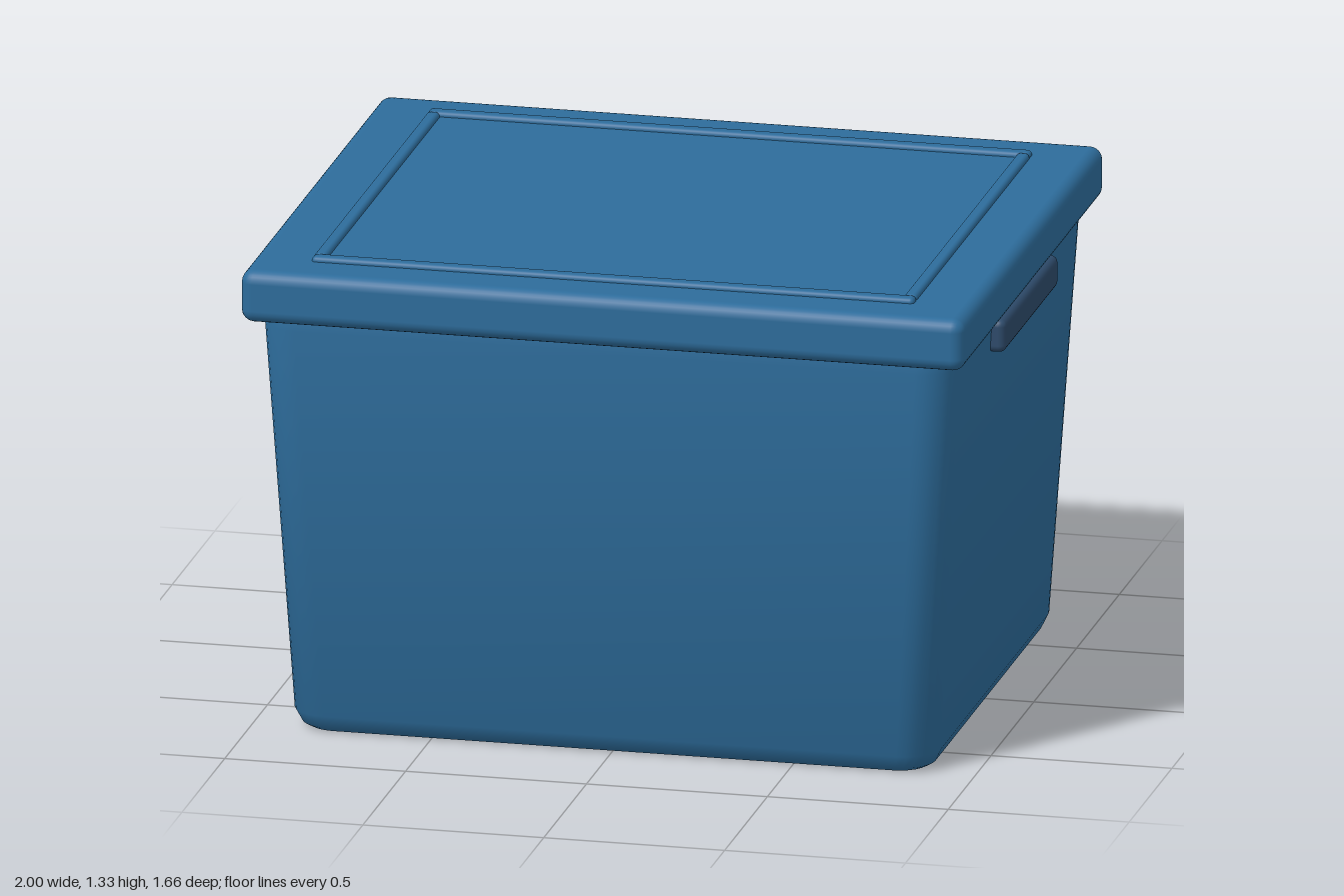
import * as THREE from 'three';
import { toCreasedNormals } from 'three/addons/utils/BufferGeometryUtils.js';
import { RoundedBoxGeometry } from 'three/addons/geometries/RoundedBoxGeometry.js';

const blue = new THREE.MeshStandardMaterial({ color: 0x2d6c9b });
blue.name = 'blue plastic';
const navy = new THREE.MeshStandardMaterial({ color: 0x2e4b6b });
navy.name = 'dark blue plastic';

// Horizontal rounded-rectangle ring, running from +x towards +z
function ring(y, halfX, halfZ, r, steps = 6) {
  const points = [];
  for (let c = 0; c < 4; c++) {
    const sx = c === 0 || c === 3 ? 1 : -1;
    const sz = c < 2 ? 1 : -1;
    for (let i = 0; i <= steps; i++) {
      const a = (c + i / steps) * Math.PI / 2;
      points.push([sx * (halfX - r) + r * Math.cos(a), y, sz * (halfZ - r) + r * Math.sin(a)]);
    }
  }
  return points;
}

// Skin stacked rings (bottom to top) and close both ends
function loft(rings) {
  const n = rings[0].length;
  const index = [];
  for (let j = 0; j < rings.length - 1; j++) {
    for (let i = 0; i < n; i++) {
      const a = j * n + i, b = j * n + (i + 1) % n;
      index.push(a, a + n, b, b, a + n, b + n);
    }
  }
  const top = (rings.length - 1) * n;
  for (let i = 1; i < n - 1; i++) {
    index.push(0, i, i + 1);
    index.push(top, top + i + 1, top + i);
  }
  const geometry = new THREE.BufferGeometry();
  geometry.setAttribute('position', new THREE.Float32BufferAttribute(rings.flat(2), 3));
  geometry.setIndex(index);
  return toCreasedNormals(geometry, 0.7);
}

export function createModel() {
  const model = new THREE.Group();
  model.name = 'storageBox';

  function add(name, geometry, material, x = 0, y = 0, z = 0) {
    const mesh = new THREE.Mesh(geometry, material);
    mesh.name = name;
    mesh.position.set(x, y, z);
    model.add(mesh);
  }
  const block = (w, h, d, r) => new RoundedBoxGeometry(w, h, d, 3, r);

  // Tapered tub with rounded corners and a softened base
  add('tub', loft([
    ring(0, 0.855, 0.69, 0.08),
    ring(0.012, 0.874, 0.707, 0.09),
    ring(0.05, 0.892, 0.726, 0.1),
    ring(1.15, 0.958, 0.793, 0.1),
    ring(1.18, 0.955, 0.79, 0.1),
  ]), blue);

  // Overhanging lid
  add('lid', block(2, 0.146, 1.66, 0.035), blue, 0, 1.247, 0);

  for (const [side, s] of [['left', 1], ['right', -1]]) {
    // Grips under the lid at both ends
    add(side + 'Handle', block(0.09, 0.092, 0.63, 0.02), navy, s * 0.95, 1.121, 0);
    // Raised side ridges of the lid frame
    add(side + 'LidRidge', block(0.036, 0.032, 1.33, 0.012), blue, s * 0.815, 1.318, 0);
  }
  for (const [end, s] of [['front', 1], ['back', -1]]) {
    add(end + 'LidRidge', block(1.665, 0.032, 0.04, 0.012), blue, 0, 1.318, s * 0.678);
  }
  return model;
}
